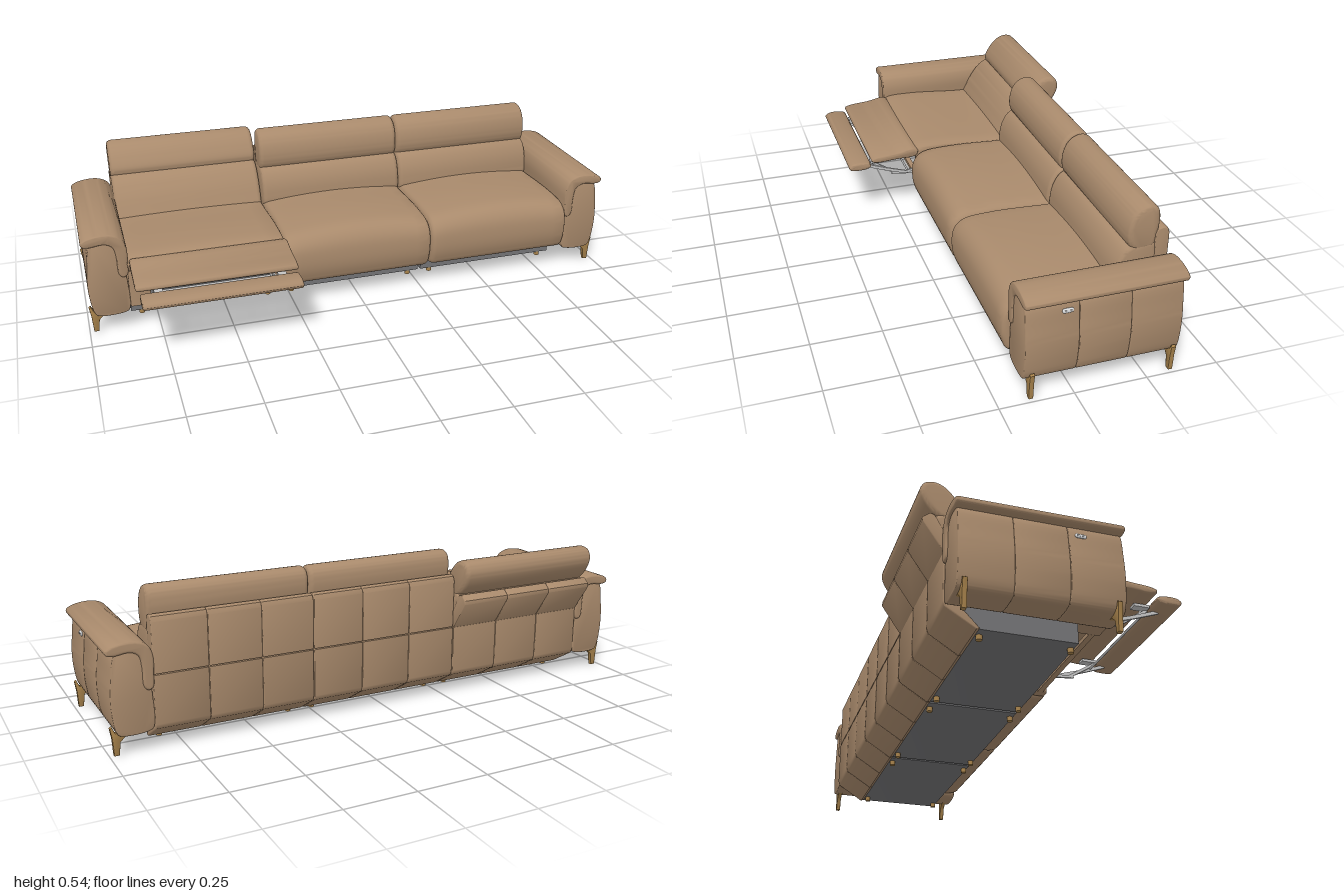
import * as THREE from 'three';
import { toCreasedNormals } from 'three/addons/utils/BufferGeometryUtils.js';

const mat = (name, color) => {
  const m = new THREE.MeshStandardMaterial({ color });
  m.name = name;
  return m;
};

export function createModel() {
  const leather = mat('tan leather', 0xa98a6c);
  const base = mat('grey base', 0x747476);
  const brass = mat('brass', 0xa8834c);
  const metal = mat('light metal', 0xc4c4c4);
  const plate = mat('switch plate', 0xdcdee0);
  const root = new THREE.Group();

  const add = (name, geo, material, parent = root) => {
    const mesh = new THREE.Mesh(geo, material);
    mesh.name = name;
    parent.add(mesh);
    return mesh;
  };

  // Rounded extrusion of an outline; the bevel stays inside the given size
  function extrude(points, from, to, { bevel = 0.006, smooth = false, steps = 1 } = {}) {
    let pts = points.map(([a, b]) => new THREE.Vector2(a, b));
    if (smooth) {
      const curve = new THREE.CatmullRomCurve3(pts.map(p => new THREE.Vector3(p.x, p.y, 0)), true);
      pts = curve.getPoints(56).slice(0, -1).map(p => new THREE.Vector2(p.x, p.y));
    }
    const geo = new THREE.ExtrudeGeometry(new THREE.Shape(pts), {
      depth: to - from - 2 * bevel, steps, bevelEnabled: bevel > 0, bevelThickness: bevel,
      bevelSize: bevel, bevelOffset: -bevel, bevelSegments: 4,
    });
    return geo.translate(0, 0, from + bevel);
  }
  // Outline along z
  const alongZ = (...args) => toCreasedNormals(extrude(...args), 0.7);
  // Outline given as [z, y], run along x, with an optional crown at mid-width
  function alongX(points, x0, x1, options = {}) {
    const geo = extrude(points.map(([z, y]) => [-z, y]), x0, x1, options).rotateY(Math.PI / 2);
    if (options.crown) {
      const p = geo.attributes.position;
      for (let i = 0; i < p.count; i++) {
        const u = (2 * p.getX(i) - x0 - x1) / (x1 - x0);
        const lift = Math.max(0, p.getY(i) - 0.2) / 0.08;
        p.setY(i, p.getY(i) + options.crown * (1 - u * u) * lift);
      }
    }
    return toCreasedNormals(geo, 0.7);
  }
  const box = (w, h, d, x, y, z) => new THREE.BoxGeometry(w, h, d).translate(x, y, z);

  // Side profiles, [z, y]
  const seat = [[0.165, 0.09], [0.185, 0.125], [0.193, 0.18], [0.184, 0.235], [0.15, 0.268], [0.05, 0.28],
    [-0.15, 0.275], [-0.31, 0.265], [-0.32, 0.25], [-0.32, 0.1], [-0.31, 0.09], [0.0, 0.085]];
  const lumbar = [[-0.185, 0.26], [-0.182, 0.31], [-0.195, 0.36], [-0.22, 0.395], [-0.26, 0.41],
    [-0.315, 0.41], [-0.325, 0.4], [-0.325, 0.25], [-0.25, 0.24]];
  const headrest = [[-0.222, 0.45], [-0.234, 0.5], [-0.26, 0.53], [-0.3, 0.54], [-0.326, 0.525],
    [-0.335, 0.49], [-0.328, 0.43], [-0.315, 0.39], [-0.25, 0.385], [-0.228, 0.41]];
  const backPanel = [[-0.318, 0.262], [-0.366, 0.262], [-0.367, 0.435], [-0.36, 0.451], [-0.345, 0.456],
    [-0.328, 0.451], [-0.318, 0.435]];
  const backShell = [[-0.3, 0.258], [-0.366, 0.258], [-0.366, 0.09], [-0.36, 0.073], [-0.262, 0.012],
    [-0.25, 0.018], [-0.3, 0.07]];
  const plinth = [[0.065, 0.016], [0.065, 0.092], [-0.32, 0.092], [-0.32, 0.062], [-0.25, 0.016]];
  // Reclined back profiles
  const lumbarDown = [[-0.2, 0.255], [-0.215, 0.3], [-0.25, 0.36], [-0.29, 0.4], [-0.33, 0.41],
    [-0.39, 0.39], [-0.4, 0.375], [-0.34, 0.28], [-0.27, 0.25]];
  const headDown = [[-0.305, 0.42], [-0.325, 0.465], [-0.36, 0.502], [-0.395, 0.515], [-0.428, 0.507],
    [-0.442, 0.475], [-0.43, 0.435], [-0.395, 0.392], [-0.36, 0.375], [-0.32, 0.39]];
  const panelDown = [[-0.325, 0.262], [-0.365, 0.258], [-0.434, 0.36], [-0.433, 0.374], [-0.41, 0.392], [-0.395, 0.388]];

  // Three seat sections; the first one is reclined
  [[-0.85, -0.284], [-0.282, 0.282], [0.284, 0.85]].forEach(([x0, x1], i) => {
    const g = new THREE.Group();
    g.name = ['reclinedSection', 'middleSection', 'endSection'][i];
    root.add(g);
    const open = i === 0;
    add('plinth', alongX(plinth, x0 + 0.005, x1 - 0.005, { bevel: 0 }), base, g);
    if (!open) add('seatCushion', alongX(seat, x0, x1, { bevel: 0.02, smooth: true, steps: 14, crown: 0.02 }), leather, g);
    add('lumbarCushion', alongX(open ? lumbarDown : lumbar, x0, x1, { bevel: 0.018, smooth: true }), leather, g);
    add('headrest', alongX(open ? headDown : headrest, x0, x1, { bevel: 0.018, smooth: true }), leather, g);
    // Back upholstery in three seamed panels
    const w = (x1 - x0) / 3;
    for (let k = 0; k < 3; k++) {
      const a = x0 + k * w, b = a + w;
      add('backPanel', alongX(open ? panelDown : backPanel, a, b, { bevel: 0.004 }), leather, g);
      add('backShell', alongX(backShell, a, b, { bevel: 0.004 }), leather, g);
    }
    // Small feet
    for (const x of [x0 + 0.045, x1 - 0.045])
      for (const z of [0.054, -0.24])
        add('smallFoot', new THREE.CylinderGeometry(0.01, 0.01, 0.018, 16).translate(x, 0.009, z), brass, g);
  });

  // Reclined seat, frame and extended footrest
  const rec = new THREE.Group();
  rec.name = 'recliner';
  root.add(rec);
  add('reclinerSeat', alongX([[0.17, 0.24], [0.18, 0.262], [0.16, 0.28], [0.05, 0.286], [-0.15, 0.272],
    [-0.31, 0.262], [-0.32, 0.25], [-0.31, 0.215], [0.0, 0.21], [0.15, 0.22]],
  -0.85, -0.284, { bevel: 0.015, smooth: true, steps: 10, crown: 0.006 }), leather, rec);
  for (const [a, b] of [[-0.85, -0.775], [-0.325, -0.284]])
    add('seatSide', alongX([[0.165, 0.09], [0.165, 0.23], [-0.32, 0.23], [-0.32, 0.09]], a, b), leather, rec);
  add('innerBoard', box(0.46, 0.13, 0.02, -0.55, 0.155, 0.05), leather, rec);
  add('frontRail', box(0.46, 0.014, 0.02, -0.55, 0.097, 0.14), leather, rec);
  add('legFlap', alongX([[0.16, 0.272], [0.18, 0.284], [0.25, 0.273], [0.335, 0.264], [0.352, 0.256],
    [0.351, 0.246], [0.335, 0.24], [0.25, 0.244], [0.17, 0.25]], -0.842, -0.278, { bevel: 0.01, smooth: true }), leather, rec);
  add('footPad', alongX([[0.354, 0.23], [0.36, 0.24], [0.395, 0.247], [0.43, 0.243], [0.444, 0.231],
    [0.436, 0.218], [0.4, 0.214], [0.365, 0.219]], -0.83, -0.282, { bevel: 0.009, smooth: true }), leather, rec);

  // Footrest linkage; bars run between [z, y] points
  const bar = (x, [z0, y0], [z1, y1], t = 0.01) => {
    const len = Math.hypot(z1 - z0, y1 - y0);
    const m = add('linkBar', new THREE.BoxGeometry(0.007, t, len), metal, rec);
    m.position.set(x, (y0 + y1) / 2, (z0 + z1) / 2);
    m.rotation.x = -Math.atan2(y1 - y0, z1 - z0);
  };
  for (const [x, s] of [[-0.765, 1], [-0.335, -1]]) {
    bar(x, [0.385, 0.217], [0.29, 0.183], 0.012);
    bar(x, [0.29, 0.183], [0.2, 0.155], 0.012);
    bar(x + s * 0.009, [0.35, 0.222], [0.24, 0.152]);
    bar(x + s * 0.009, [0.26, 0.155], [0.07, 0.138]);
    bar(x, [0.21, 0.155], [0.06, 0.19]);
    add('flapBracket', box(0.03, 0.01, 0.055, x, 0.226, 0.323), metal, rec);
  }
  for (const [y, z] of [[0.112, 0.1], [0.15, 0.19], [0.185, 0.12], [0.2, 0.33]])
    add('crossRod', new THREE.CylinderGeometry(0.004, 0.004, 0.43, 10).rotateZ(Math.PI / 2).translate(-0.55, y, z), metal, rec);

  // Arms, mirrored
  for (const s of [1, -1]) {
    const g = new THREE.Group();
    g.name = s > 0 ? 'leftArm' : 'rightArm';
    root.add(g);
    const flip = pts => pts.map(([x, y]) => [s * x, y]);
    const body = flip([[0.852, 0.085], [0.865, 0.072], [0.965, 0.07], [0.977, 0.085], [0.988, 0.14], [0.991, 0.2],
      [0.986, 0.26], [0.972, 0.34], [0.95, 0.352], [0.88, 0.352], [0.866, 0.33], [0.853, 0.2]]);
    for (const [a, b] of [[-0.362, -0.186], [-0.186, -0.012], [-0.012, 0.166]])
      add('armBody', alongZ(body, a, b, { bevel: 0.005, smooth: true }), leather, g);
    const pad = flip([[0.85, 0.22], [0.846, 0.27], [0.846, 0.325], [0.862, 0.362], [0.89, 0.378], [0.93, 0.382],
      [0.98, 0.373], [0.999, 0.36], [0.997, 0.346], [0.975, 0.34], [0.92, 0.345], [0.893, 0.33], [0.884, 0.29],
      [0.88, 0.225], [0.866, 0.212]]);
    add('armPad', alongZ(pad, -0.37, 0.172, { bevel: 0.008, smooth: true }), leather, g);
    // Curved bracket legs
    const leg = flip([[0.968, 0], [0.985, 0], [0.989, 0.06], [0.995, 0.095], [0.988, 0.1], [0.978, 0.078],
      [0.905, 0.078], [0.905, 0.07], [0.945, 0.062], [0.962, 0.045]]);
    for (const z of [0.14, -0.34])
      add('leg', alongZ(leg, z - 0.008, z + 0.008, { bevel: 0.002 }), brass, g);
    // Control switch on the outer face
    const sw = add('switchPlate', new THREE.CapsuleGeometry(0.008, 0.022, 6, 16).rotateX(Math.PI / 2).scale(0.5, 1, 1), plate, g);
    sw.position.set(s * 0.982, 0.308, 0.028);
    sw.rotation.z = s * 0.17;
    for (const z of [0.02, 0.036])
      add('switchButton', box(0.003, 0.006, 0.008, s * 0.9855, 0.308, z), metal, g);
  }
  return root;
}
